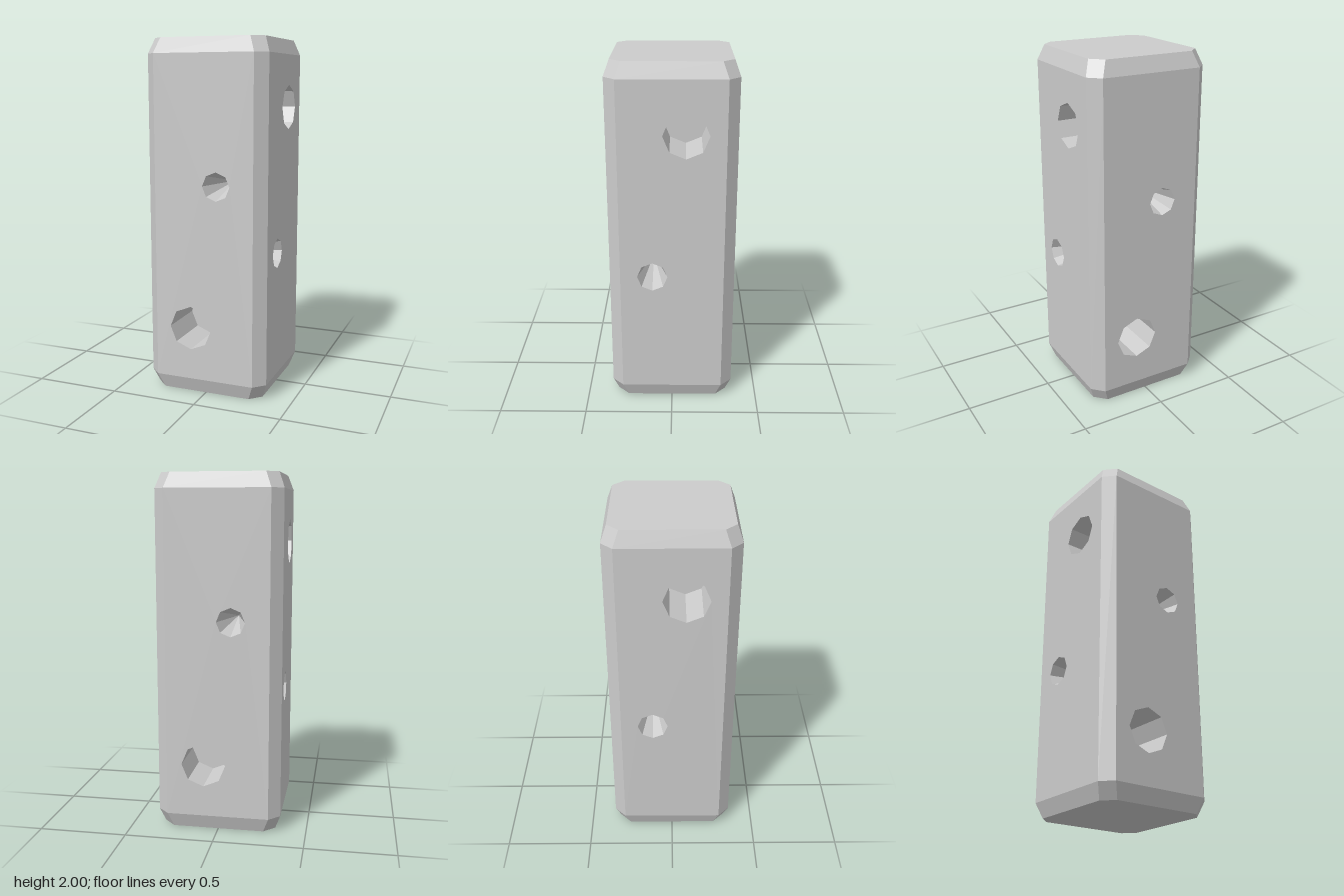
import * as THREE from 'three';

const HALF = 0.353, FLAT = 0.29;      // half width, half width of a flat side
const INSET = 0.031, BEVEL = 0.085;   // how far the end bevels step in, and their height
const HEIGHT = 2, DEPTH = 0.3;

const material = new THREE.MeshStandardMaterial({ color: 0xcccccc, flatShading: true });

function addMesh(parent, name, geometry) {
  const mesh = new THREE.Mesh(geometry, material);
  mesh.name = name;
  parent.add(mesh);
  return mesh;
}

// Octagonal section; edge 0 is the front flat, odd edges are the corner chamfers
function ring(inset, y) {
  const h = HALF - inset, f = FLAT - inset;
  return [[-f, h], [f, h], [h, f], [h, -f], [f, -h], [-f, -h], [-h, -f], [-h, f]]
    .map(([x, z]) => [x, y, z]);
}

// Ends, end bevels and corner chamfers
function shellGeometry() {
  const rings = [ring(INSET, 0), ring(0, BEVEL), ring(0, HEIGHT - BEVEL), ring(INSET, HEIGHT)];
  const pos = [];
  const tri = (a, b, c) => pos.push(...a, ...b, ...c);
  for (let r = 0; r < 3; r++) {
    for (let i = 0; i < 8; i++) {
      if (r === 1 && i % 2 === 0) continue; // the drilled side panels go here
      const j = (i + 1) % 8, lo = rings[r], hi = rings[r + 1];
      tri(lo[i], lo[j], hi[j]);
      tri(lo[i], hi[j], hi[i]);
    }
  }
  for (let i = 1; i < 7; i++) {
    tri(rings[3][0], rings[3][i], rings[3][i + 1]);
    tri(rings[0][0], rings[0][i + 1], rings[0][i]);
  }
  const g = new THREE.BufferGeometry();
  g.setAttribute('position', new THREE.Float32BufferAttribute(pos, 3));
  g.computeVertexNormals();
  return g;
}

// Inward-facing eight-sided wall running back from z = 0; tip 0 makes a cone
function holeWall(r, tip) {
  const g = new THREE.CylinderGeometry(r, tip, DEPTH, 8, 1, true)
    .translate(0, -DEPTH / 2, 0)
    .rotateX(Math.PI / 2)
    .scale(-1, 1, 1) // mirrored so the faces point into the hole
    .toNonIndexed();
  g.computeVertexNormals();
  return g;
}

// One flat side with a flat-bottomed socket and a pointed hole
function drilledSide(socket, pit) {
  const side = new THREE.Group();
  const shape = new THREE.Shape([
    [-FLAT, BEVEL], [FLAT, BEVEL], [FLAT, HEIGHT - BEVEL], [-FLAT, HEIGHT - BEVEL],
  ].map(([x, y]) => new THREE.Vector2(x, y)));
  for (const { x, y, r } of [socket, pit]) {
    const points = [];
    for (let i = 0; i < 8; i++) {
      const a = -i * Math.PI / 4;
      points.push(new THREE.Vector2(x + r * Math.cos(a), y + r * Math.sin(a)));
    }
    shape.holes.push(new THREE.Path(points));
  }
  addMesh(side, 'sidePanel', new THREE.ShapeGeometry(shape));
  addMesh(side, 'socketWall', holeWall(socket.r, socket.r)).position.set(socket.x, socket.y, 0);
  addMesh(side, 'socketFloor', new THREE.CircleGeometry(socket.r, 8))
    .position.set(socket.x, socket.y, -DEPTH);
  addMesh(side, 'pointedHole', holeWall(pit.r, 0)).position.set(pit.x, pit.y, 0);
  return side;
}

export function createModel() {
  const model = new THREE.Group();
  model.name = 'drilledPost';
  addMesh(model, 'bevelledShell', shellGeometry());

  // Opposite sides share a hole pattern, turned half way round
  const patterns = [
    [{ x: -0.08, y: 0.385, r: 0.125 }, { x: 0.075, y: 1.2, r: 0.08 }],
    [{ x: 0.075, y: 1.62, r: 0.125 }, { x: -0.11, y: 0.805, r: 0.085 }],
  ];
  ['frontSide', 'leftSide', 'backSide', 'rightSide'].forEach((name, i) => {
    const side = drilledSide(...patterns[i % 2]);
    const angle = i * Math.PI / 2;
    side.name = name;
    side.rotation.y = angle;
    side.position.set(Math.sin(angle) * HALF, 0, Math.cos(angle) * HALF);
    model.add(side);
  });
  return model;
}
